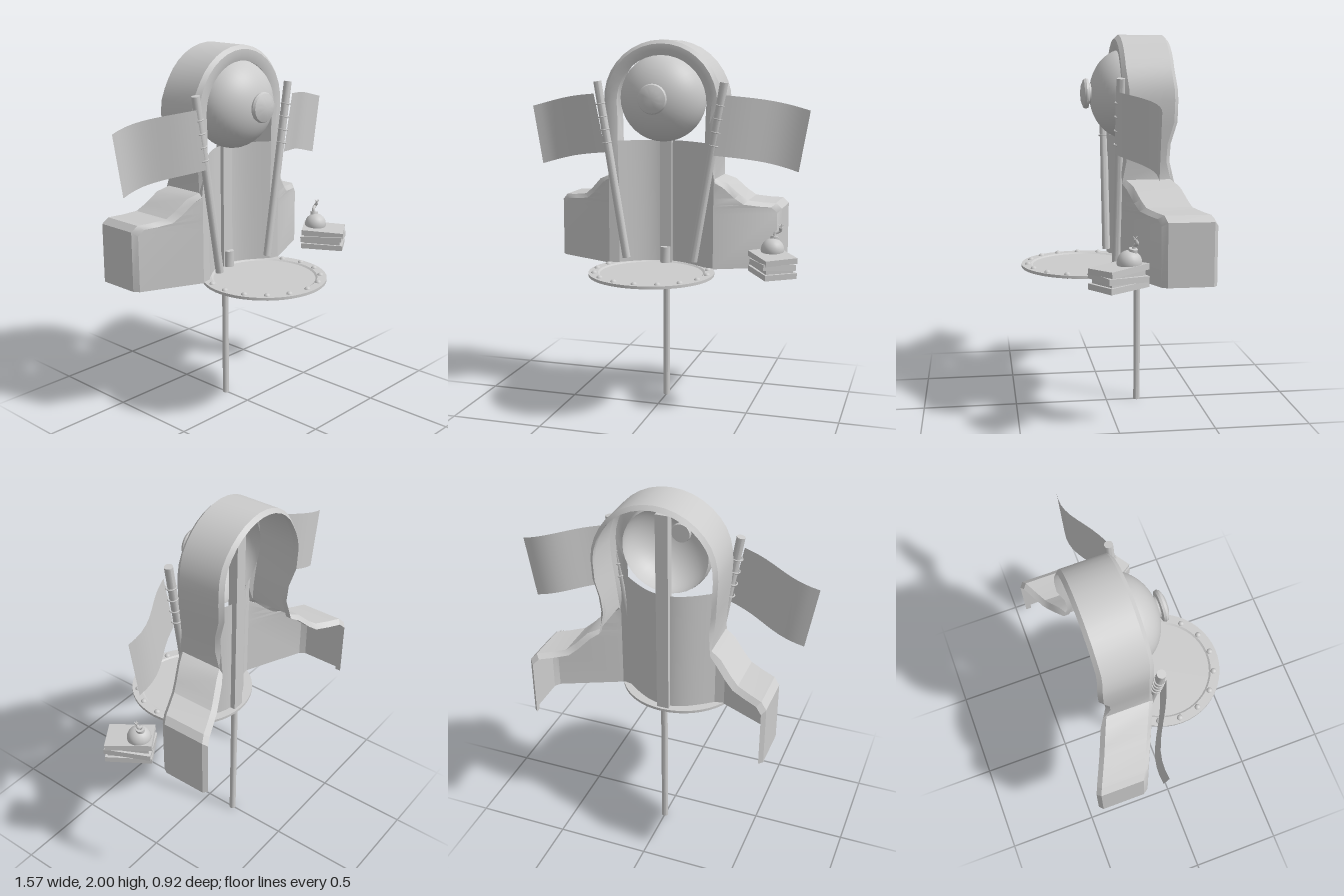
import * as THREE from 'three';
import { toCreasedNormals } from 'three/addons/utils/BufferGeometryUtils.js';

const V = (x, y, z) => new THREE.Vector3(x, y, z);
const solid = new THREE.MeshStandardMaterial({ color: 0xcccccc });
const sheet = new THREE.MeshStandardMaterial({ color: 0xcccccc, side: THREE.DoubleSide });

// Surface through a grid of points: front side is (i direction) x (j direction)
function gridSurface(grid) {
  const n = grid[0].length, index = [];
  for (let i = 0; i < grid.length - 1; i++)
    for (let j = 0; j < n - 1; j++) {
      const a = i * n + j, b = a + n;
      index.push(a, b, a + 1, b, b + 1, a + 1);
    }
  const geo = new THREE.BufferGeometry().setFromPoints(grid.flat());
  geo.setIndex(index);
  return toCreasedNormals(geo, 0.5);
}

function add(parent, name, geo, pos = [0, 0, 0], mat = solid) {
  const mesh = new THREE.Mesh(geo, mat);
  mesh.name = name;
  mesh.position.set(...pos);
  parent.add(mesh);
  return mesh;
}

// Cylinder between two points
function rod(parent, name, a, b, r, sides = 14) {
  const mesh = add(parent, name, toCreasedNormals(new THREE.CylinderGeometry(r, r, a.distanceTo(b), sides), 0.7));
  mesh.position.copy(a).lerp(b, 0.5);
  mesh.quaternion.setFromUnitVectors(V(0, 1, 0), b.clone().sub(a).normalize());
  return mesh;
}

// Arched hood flowing into swept-back shoulders, open behind and below
function hoodGeometry() {
  const half = [], steps = 9;
  for (let i = 0; i <= steps; i++) {
    const a = (i / steps) * Math.PI / 2;
    half.push([0.33 * Math.sin(a), 1.67 + 0.33 * Math.cos(a)]);
  }
  half.push([0.325, 1.56], [0.312, 1.45], [0.303, 1.36], [0.3, 1.27], [0.36, 1.245], [0.42, 1.185],
    [0.465, 1.15], [0.54, 1.138], [0.605, 1.132], [0.635, 1.1], [0.635, 0.78]);
  const sweep = (x) => 0.46 * Math.max(0, x - 0.3);

  const section = ([x, y], k) => {
    let inner, crease, inset;
    if (k <= steps) {
      const f = x / 0.33, g = (y - 1.67) / 0.33;
      [inner, crease, inset] = [0.25, 0.28, 0.31].map((r) => [f * r, 1.67 + g * r]);
    } else if (y > 1.28) {
      inner = [0.245, y]; crease = [0.27, y]; inset = [x - 0.02, y];
    } else {
      const yy = y < 0.8 ? y : y - 0.02;
      inner = [0.24, yy]; crease = [0.295, yy]; inset = [Math.max(0.3, x - 0.02), yy];
    }
    const front = -0.04 - sweep(x);
    const back = -0.31 - sweep(x) + (y > 1.3 && y < 1.5 ? 0.025 : 0);
    return [
      V(...inner, -0.05), V(...crease, -0.04), V(...inset, -0.04 - sweep(inset[0])),
      V(x, y, front - 0.02), V(x, y, back + 0.02), V(...inset, back), V(...inset, back + 0.03),
    ];
  };
  const right = half.map(section);
  const left = right.slice(1).reverse().map((s) => s.map((p) => V(-p.x, p.y, p.z)));
  return gridSurface([...left, ...right]);
}

// Curved back panel of the niche
function nicheGeometry() {
  const grid = [];
  for (let i = 0; i <= 16; i++) {
    const x = -0.245 + 0.49 * i / 16;
    const z = -0.05 - 0.12 * Math.cos((x / 0.245) * Math.PI / 2);
    grid.push([V(x, 0.78, z), V(x, 1.46, z)]);
  }
  return gridSurface(grid);
}

// Slightly waved cloth on the left side
function flagGeometry() {
  const grid = [], n = 10;
  for (let i = 0; i <= n; i++) {
    const t = i / n;
    const z = -0.145 * Math.sin(t * Math.PI / 2) + 0.012 * Math.sin(t * Math.PI * 2) - 0.005;
    const bow = 0.012 * Math.sin(t * Math.PI);
    grid.push([
      V(0.3 + 0.43 * t, 1.4 - 0.09 * t + bow, z),
      V(0.365 + 0.42 * t, 1.715 - 0.08 * t + bow, z),
    ]);
  }
  return gridSurface(grid);
}

function buildPoleAndFlag() {
  const side = new THREE.Group();
  const bottom = V(0.19, 0.82, -0.025), top = V(0.35, 1.78, -0.025);
  const pole = rod(side, 'flagPole', bottom, top, 0.022);
  add(side, 'flag', flagGeometry(), [0, 0, 0], sheet);
  // Rings tying the cloth to the pole
  for (const y of [1.45, 1.52, 1.59, 1.66]) {
    const p = bottom.clone().lerp(top, (y - 0.82) / 0.96);
    const ring = add(side, 'flagRing', new THREE.TorusGeometry(0.026, 0.004, 6, 16), [p.x + 0.006, p.y, p.z]);
    ring.quaternion.copy(pole.quaternion);
    ring.rotateX(Math.PI / 2);
  }
  return side;
}

function buildCrate() {
  const crate = new THREE.Group();
  crate.name = 'crateWithRoundCharge';
  crate.position.set(0.63, 0, 0.025);
  crate.rotation.y = 0.55;
  // Stacked crooked slabs
  [[0.803, 0.02, 0.02], [0.843, -0.05, -0.06], [0.883, 0.04, 0.05]].forEach(([y, turn, tilt]) => {
    const slab = add(crate, 'slab', new THREE.BoxGeometry(0.175, 0.03, 0.24), [0, y, 0]);
    slab.rotation.set(tilt, turn, tilt * 0.8);
  });
  add(crate, 'crateCore', new THREE.BoxGeometry(0.15, 0.08, 0.21), [0, 0.842, 0]);
  // Round charge with curved fuse and frayed spark
  add(crate, 'charge', new THREE.SphereGeometry(0.062, 20, 14), [0.02, 0.91, -0.05]);
  const neck = add(crate, 'chargeNeck', new THREE.CylinderGeometry(0.022, 0.024, 0.025, 12), [0.034, 0.968, -0.06]);
  neck.rotation.z = -0.25;
  const fuse = new THREE.CatmullRomCurve3([V(0.035, 0.97, -0.06), V(0.04, 0.995, -0.066), V(0.065, 1.008, -0.06), V(0.064, 1.025, -0.05)]);
  add(crate, 'fuse', new THREE.TubeGeometry(fuse, 12, 0.009, 8));
  for (let i = 0; i < 4; i++) {
    const spark = add(crate, 'spark', new THREE.ConeGeometry(0.007, 0.03, 5), [0.064, 1.028, -0.05]);
    spark.rotation.set(0.6 * Math.cos(i * 1.57), 0, 0.8 * Math.sin(i * 1.57));
    spark.translateY(0.01);
  }
  return crate;
}

export function createModel() {
  const model = new THREE.Group();
  model.name = 'archedShrine';

  add(model, 'hood', hoodGeometry(), [0, 0, 0], sheet);
  add(model, 'nichePanel', nicheGeometry(), [0, 0, 0], sheet);

  // Central post and the stake below it
  add(model, 'post', new THREE.BoxGeometry(0.066, 1.13, 0.05), [0, 1.345, -0.17]);
  rod(model, 'stake', V(0, 0, -0.17), V(0, 0.8, -0.17), 0.018);
  rod(model, 'stakeSocket', V(0, 0.78, -0.14), V(0, 0.87, -0.14), 0.028);

  // Large dome with a front knob
  const dome = add(model, 'dome', new THREE.SphereGeometry(0.235, 36, 20, 0, Math.PI * 2, 0, Math.PI * 0.58), [0, 1.693, -0.1], sheet);
  dome.rotation.x = Math.PI / 2;
  dome.scale.y = 0.81;
  const knobProfile = [[0, -0.03], [0.05, -0.03], [0.055, -0.005], [0.076, 0], [0.08, 0.012], [0.074, 0.024], [0.045, 0.036], [0, 0.042]];
  const knobGeo = toCreasedNormals(new THREE.LatheGeometry(knobProfile.map((p) => new THREE.Vector2(...p)), 28), 0.6);
  add(model, 'knob', knobGeo, [0, 1.695, 0.098]).rotation.x = Math.PI / 2;

  // Round base plate with raised rim and rivets
  const plate = [[0, 0.77], [0.335, 0.77], [0.335, 0.785], [0.285, 0.785], [0.275, 0.778], [0, 0.778]];
  const plateGeo = toCreasedNormals(new THREE.LatheGeometry(plate.map((p) => new THREE.Vector2(...p)), 48), 0.4);
  add(model, 'basePlate', plateGeo, [0, 0, 0.125]);
  for (let i = -5; i <= 5; i++) {
    const a = i * Math.PI / 8;
    add(model, 'rivet', new THREE.SphereGeometry(0.018, 12, 8), [0.305 * Math.sin(a), 0.78, 0.125 + 0.3 * Math.cos(a)]);
  }

  // Mirrored poles and flags
  const left = buildPoleAndFlag();
  left.name = 'leftFlagSet';
  const right = buildPoleAndFlag();
  right.name = 'rightFlagSet';
  right.scale.x = -1;
  model.add(left, right, buildCrate());
  return model;
}
